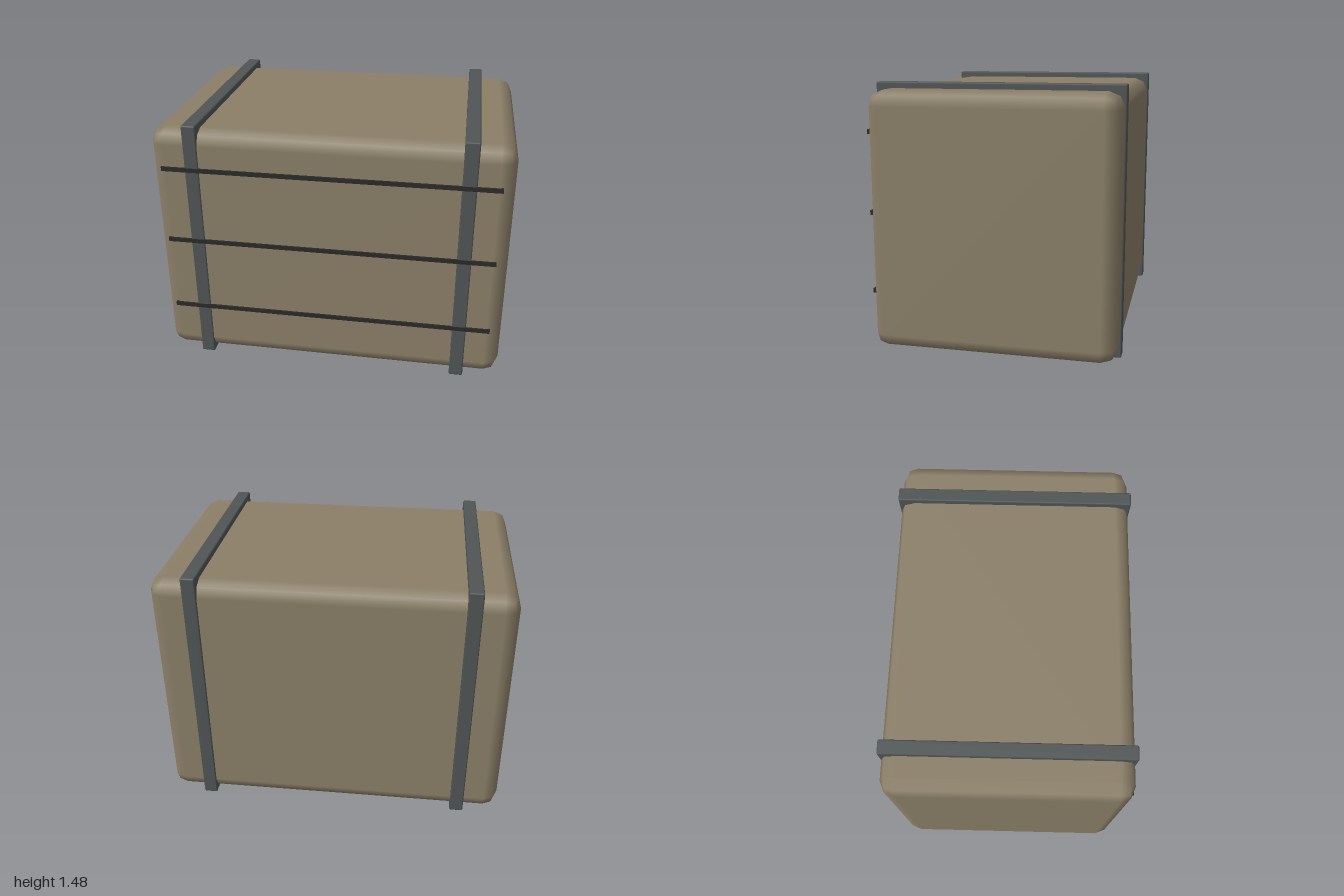
import * as THREE from 'three';
import { RoundedBoxGeometry } from 'three/addons/geometries/RoundedBoxGeometry.js';

export function createModel() {
  const group = new THREE.Group();
  const tan = new THREE.MeshStandardMaterial({ color: 0x8b7f68 });
  const steel = new THREE.MeshStandardMaterial({ color: 0x505556 });
  const dark = new THREE.MeshStandardMaterial({ color: 0x2a2a28 });

  function add(name, geometry, material, x, y, z) {
    const mesh = new THREE.Mesh(geometry, material);
    mesh.name = name;
    mesh.position.set(x, y, z);
    group.add(mesh);
  }

  // Main case with softly bevelled edges
  add('caseBody', new RoundedBoxGeometry(2, 1.425, 1.35, 1, 0.085), tan, 0, 0.728, 0);

  // Bands around the case, one near each end
  const band = new RoundedBoxGeometry(0.08, 1.475, 1.366, 1, 0.008);
  add('leftBand', band, steel, 0.76, 0.7375, -0.001);
  add('rightBand', band, steel, -0.76, 0.7375, -0.001);

  // Thin horizontal strips across the front
  const strip = new THREE.BoxGeometry(1.87, 0.025, 0.015);
  ['lowerStrip', 'middleStrip', 'upperStrip'].forEach((name, i) => {
    add(name, strip, dark, 0, 0.33 + i * 0.443, 0.677);
  });

  return group;
}
